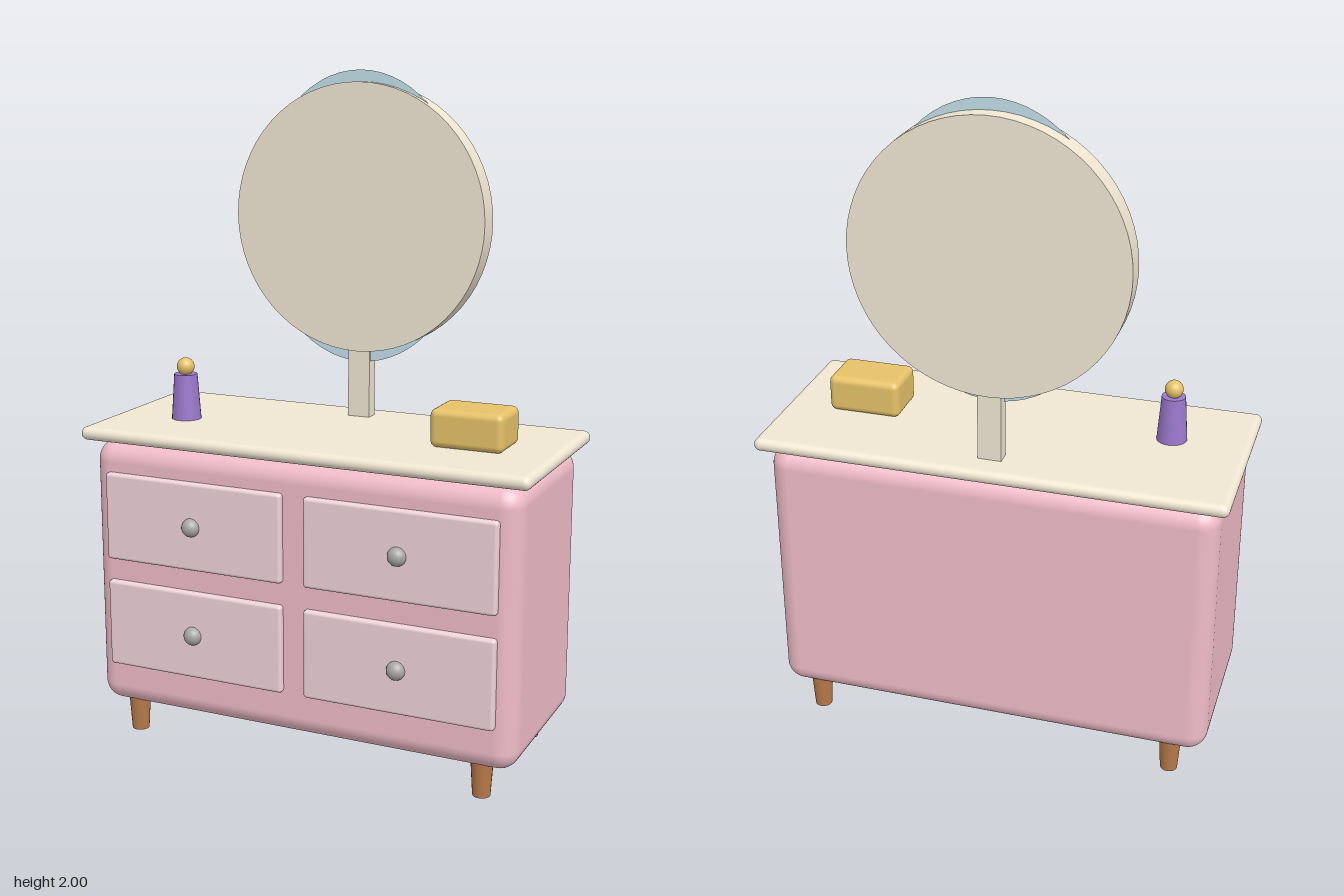
import * as THREE from 'three';
import { RoundedBoxGeometry } from 'three/addons/geometries/RoundedBoxGeometry.js';

const mat = (color) => new THREE.MeshStandardMaterial({ color });

export function createModel() {
  const model = new THREE.Group();
  const pink = mat(0xf0bcc8), palePink = mat(0xefd3da), cream = mat(0xf0e6d2);
  const wood = mat(0xb87a4a), gold = mat(0xe6c268), purple = mat(0x9b78cc);
  const metal = mat(0xa8a8a8);
  const glass = mat(0xc4dfea);
  glass.side = THREE.DoubleSide;

  const add = (name, geometry, material, x, y, z) => {
    const mesh = new THREE.Mesh(geometry, material);
    mesh.name = name;
    mesh.position.set(x, y, z);
    model.add(mesh);
    return mesh;
  };

  // Cabinet and overhanging top
  add('cabinet', new RoundedBoxGeometry(1.34, 0.825, 0.555, 5, 0.06), pink, 0, 0.507, -0.012);
  add('tabletop', new RoundedBoxGeometry(1.4, 0.04, 0.6, 4, 0.02), cream, 0, 0.942, -0.015);

  // Four drawers with round knobs, four tapered legs
  for (const x of [-1, 1]) {
    for (const y of [0.362, 0.697]) {
      add('drawer', new RoundedBoxGeometry(0.58, 0.267, 0.04, 3, 0.01), palePink, x * 0.325, y, 0.265);
      add('knob', new THREE.SphereGeometry(0.028, 24, 16), metal, x * 0.325, y, 0.284);
    }
    for (const z of [0.21, -0.235]) {
      add('leg', new THREE.CylinderGeometry(0.033, 0.026, 0.11, 20), wood, x * 0.56, 0.055, z);
    }
  }

  // Round mirror on a square post, with a thin oval glass
  add('mirrorPost', new THREE.BoxGeometry(0.07, 0.26, 0.042), cream, 0, 1.08, -0.214);
  const frame = add('mirrorFrame', new THREE.CylinderGeometry(0.4, 0.4, 0.072, 64), cream, 0, 1.567, -0.214);
  frame.rotation.x = Math.PI / 2;
  const pane = add('mirrorGlass', new THREE.CircleGeometry(1, 64), glass, 0, 1.567, -0.2);
  pane.scale.set(0.34, 0.434, 1);

  // Perfume bottle and jewellery box
  add('bottle', new THREE.CylinderGeometry(0.035, 0.045, 0.14, 24), purple, -0.47, 1.03, 0.042);
  add('bottleStopper', new THREE.SphereGeometry(0.027, 24, 16), gold, -0.47, 1.122, 0.042);
  add('jewelleryBox', new RoundedBoxGeometry(0.22, 0.112, 0.155, 4, 0.02), gold, 0.446, 1.018, 0.007);

  return model;
}
